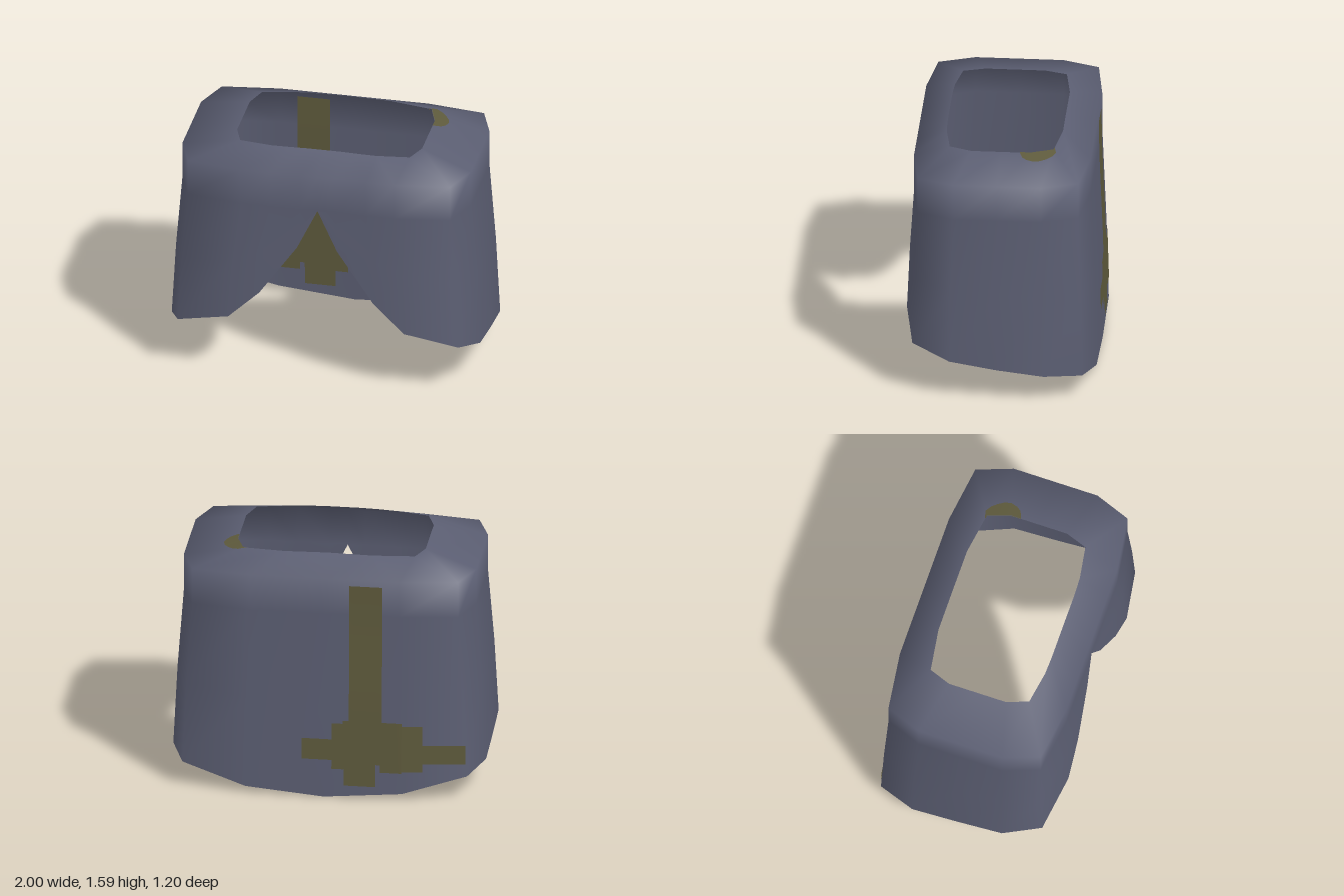
import * as THREE from 'three';

const cloth = new THREE.MeshStandardMaterial({ color: 0x5b5e72, side: THREE.DoubleSide });
cloth.name = 'slate cloth';
const olive = new THREE.MeshStandardMaterial({ color: 0x5e5a3c, side: THREE.DoubleSide });
olive.name = 'olive paint';

// Half outlines from front centre, round the left side, to back centre
const neckXZ = [[0, .37], [.1, .37], [.22, .37], [.34, .365], [.55, .33], [.6, .19], [.6, 0], [.6, -.19], [.55, -.33], [.28, -.37], [0, -.37]];
const neckY = [1.59, 1.59, 1.587, 1.583, 1.578, 1.575, 1.575, 1.575, 1.578, 1.585, 1.59];
const shoulderXZ = [[0, .56], [.11, .56], [.31, .56], [.5, .56], [.85, .51], [.935, .28], [.935, 0], [.935, -.28], [.85, -.51], [.48, -.56], [0, -.56]];
const hem = [[0, 1.25, .56], [.13, .98, .575], [.37, .64, .595], [.57, .45, .6], [.91, .36, .54], [1, .28, .3],
  [1, .23, 0], [1, .195, -.3], [.91, .17, -.54], [.5, .05, -.6], [0, .005, -.6]];

const neck = neckXZ.map(([x, z], i) => [x, neckY[i], z]);
const shoulder = shoulderXZ.map(([x, z]) => [x, 1.49, z]);
const chest = shoulderXZ.map(([x, z]) => [x, 1.25, z]);
const mix = (a, b, t) => a.map((v, i) => v + (b[i] - v) * t);
// The skirt flares a little faster above its middle
const middle = hem.map((h, i) => {
  const [x, , z] = mix(chest[i], h, .6);
  return [x, (1.25 + h[1]) / 2, z];
});
const rings = [neck, shoulder, chest, middle, hem];

function meshFrom(name, positions, index, material) {
  const g = new THREE.BufferGeometry();
  g.setAttribute('position', new THREE.Float32BufferAttribute(positions, 3));
  g.setIndex(index);
  g.computeVertexNormals();
  const m = new THREE.Mesh(g, material);
  m.name = name;
  return m;
}

// Poncho shell: rings mirrored to full loops, then skinned
function shell() {
  const full = rings.map(r => [...r, ...r.slice(1, -1).reverse().map(([x, y, z]) => [-x, y, z])]);
  const n = full[0].length, index = [];
  for (let r = 0; r < full.length - 1; r++) for (let c = 0; c < n; c++) {
    const d = (c + 1) % n, a = r * n + c, b = r * n + d;
    index.push(a, a + n, b, b, a + n, b + n);
  }
  return meshFrom('ponchoCloth', full.flat(2), index, cloth);
}

// Depth of the back cloth at a given x and y
function backZ(x, y) {
  const at = c => {
    if (y >= 1.25) return chest[c];
    const m = middle[c], h = hem[c];
    return y > m[1] ? mix(m, chest[c], (y - m[1]) / (1.25 - m[1])) : mix(h, m, (y - h[1]) / (m[1] - h[1]));
  };
  const e = at(9), k = at(8), ax = Math.abs(x);
  return ax <= e[0] ? e[2] : e[2] + (k[2] - e[2]) * (ax - e[0]) / (k[0] - e[0]);
}

// Painted rectangle lying on the back cloth
function backPaint([x0, x1, y0, y1], offset, name) {
  const g = new THREE.PlaneGeometry(x1 - x0, y1 - y0, 8, 8).translate((x0 + x1) / 2, (y0 + y1) / 2, 0);
  const p = g.attributes.position;
  for (let i = 0; i < p.count; i++) p.setZ(i, backZ(p.getX(i), p.getY(i)) + offset);
  g.computeVertexNormals();
  // facing backward on the outside
  if (offset < 0) {
    const ix = g.index.array;
    for (let i = 0; i < ix.length; i += 3) [ix[i], ix[i + 1]] = [ix[i + 1], ix[i]];
    g.computeVertexNormals();
  }
  const m = new THREE.Mesh(g, olive);
  m.name = name;
  return m;
}

// Painted spot beside the neck opening, following the shoulder slope
function neckPaint(offset, name) {
  const spot = [[6.63, .02], [6.68, .15], [6.8, .22], [7, .26], [7.25, .27], [7.5, .24], [7.75, .19], [8, .1], [8.1, .01]];
  const pos = [], index = [];
  spot.forEach(([u, t], i) => {
    const c = Math.floor(u), f = u - c;
    const a = mix(neck[c], neck[c + 1], f), b = mix(shoulder[c], shoulder[c + 1], f);
    for (const p of [a, mix(a, b, t)]) pos.push(p[0] + offset * .25, p[1] + offset, p[2]);
    if (i) index.push(2 * i - 2, 2 * i - 1, 2 * i, 2 * i, 2 * i - 1, 2 * i + 1);
  });
  return meshFrom(name, pos, index, olive);
}

export function createModel() {
  const group = new THREE.Group();
  group.name = 'poncho';
  group.add(shell());

  // Back emblem: long strip and stepped crossing, as [x0, x1, y0, y1]
  const blocks = [
    [-.37, -.16, .53, 1.45],
    [-.36, -.12, .24, .53],
    [-.33, -.13, .09, .24],
    [-.13, -.05, .2, .51],
    [-.05, .14, .26, .4],
    [-.5, -.36, .19, .53],
    [-.63, -.5, .2, .51],
    [-.9, -.63, .255, .38],
  ];
  for (const b of blocks) {
    group.add(backPaint(b, -.005, 'backPaintOutside'));
    group.add(backPaint(b, .005, 'backPaintInside'));
  }
  group.add(neckPaint(.004, 'neckPaintTop'), neckPaint(-.004, 'neckPaintUnder'));
  return group;
}
